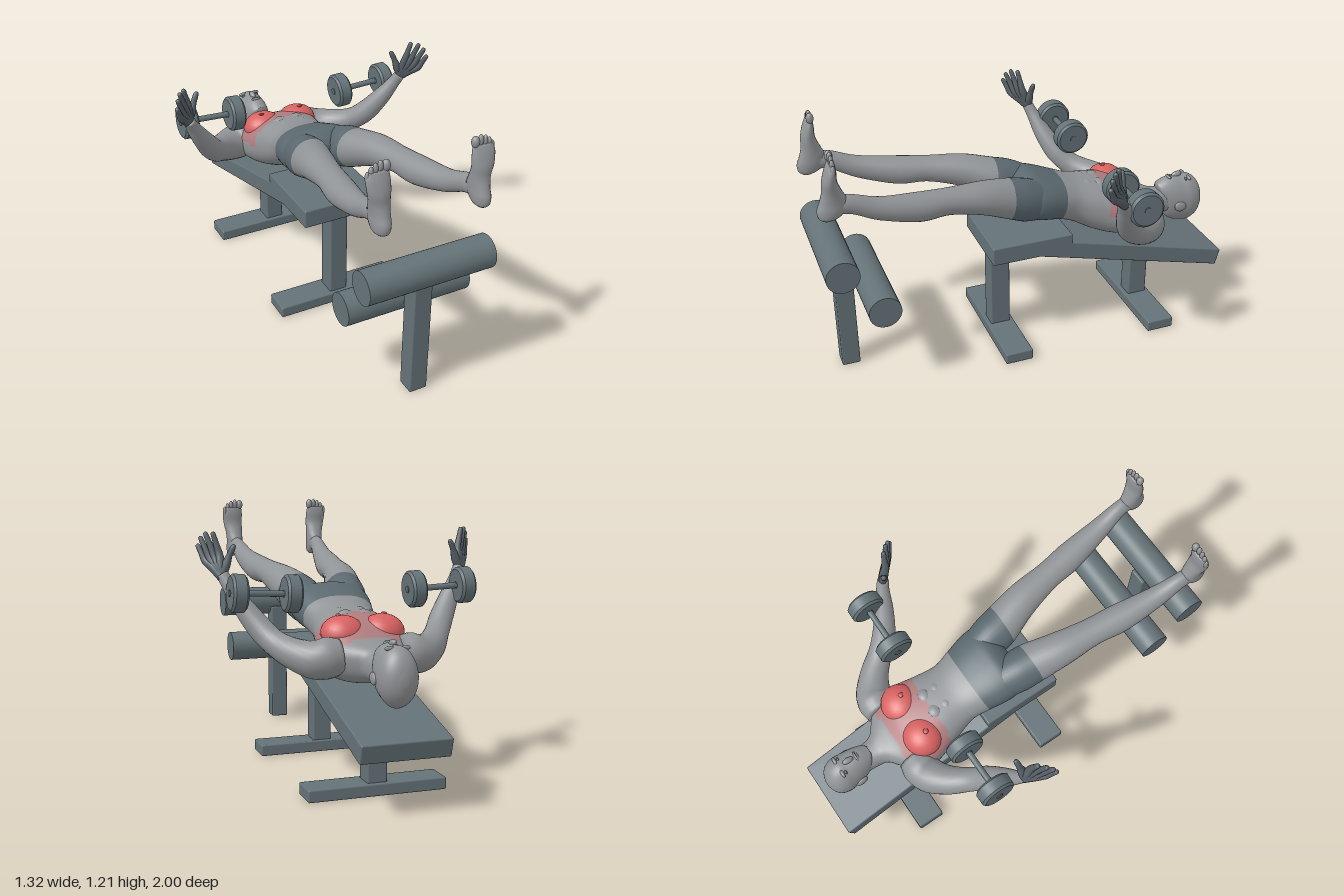
import * as THREE from 'three';
import { RoundedBoxGeometry } from 'three/addons/geometries/RoundedBoxGeometry.js';

const mat = (name, color) => Object.assign(new THREE.MeshStandardMaterial({ color }), { name });
const V = (x, y, z) => new THREE.Vector3(x, y, z);

// Smooth closed skin through elliptical sections {c, u, v}; pick() chooses a material per face
function loft(sections, { mats, pick = () => 0, sides = 28, steps = 5, power = 2 }) {
  const curve = (k) => new THREE.CatmullRomCurve3(sections.map((s) => s[k]), false, 'catmullrom', 0.5);
  const C = curve('c'), U = curve('u'), W = curve('v');
  const rings = (sections.length - 1) * steps;
  const pos = [], buckets = mats.map(() => []);
  for (let i = 0; i <= rings; i++) {
    const t = i / rings, c = C.getPoint(t), u = U.getPoint(t), v = W.getPoint(t);
    for (let j = 0; j < sides; j++) {
      const a = (j / sides) * Math.PI * 2, ca = Math.cos(a), sa = Math.sin(a);
      const e = (w) => Math.sign(w) * Math.pow(Math.abs(w), 2 / power);
      const p = c.clone().addScaledVector(u, e(ca)).addScaledVector(v, e(sa));
      pos.push(p.x, p.y, p.z);
    }
  }
  for (const t of [0, 1]) pos.push(...C.getPoint(t).toArray());
  const m = Math.floor((sections.length - 1) / 2), s0 = sections[m], s1 = sections[m + 1];
  const flip = s1.c.clone().sub(s0.c).dot(s0.u.clone().cross(s0.v)) < 0;
  const at = (i) => V(pos[i * 3], pos[i * 3 + 1], pos[i * 3 + 2]);
  const tri = (k, a, b, c) => buckets[k].push(a, flip ? c : b, flip ? b : c);
  const first = (rings + 1) * sides, last = rings * sides;
  for (let j = 0; j < sides; j++) {
    const n = (j + 1) % sides;
    for (let i = 0; i < rings; i++) {
      const a = i * sides + j, b = i * sides + n, c = b + sides, d = a + sides;
      const k = pick((i + 0.5) / steps, at(a).add(at(c)).multiplyScalar(0.5));
      tri(k, a, b, c);
      tri(k, a, c, d);
    }
    tri(pick(0, at(first)), first, n, j);
    tri(pick(sections.length - 1, at(first + 1)), first + 1, last + j, last + n);
  }
  const g = new THREE.BufferGeometry();
  g.setAttribute('position', new THREE.Float32BufferAttribute(pos, 3));
  g.setIndex(buckets.flat());
  let start = 0;
  buckets.forEach((b, k) => { g.addGroup(start, b.length, k); start += b.length; });
  g.computeVertexNormals();
  return new THREE.Mesh(g, mats);
}

// Section rows [z, x, y, rx, ry] across the body axis, leaning by tilt
const across = (rows, tilt, s = 1) => rows.map(([z, x, y, rx, ry]) => (
  { c: V(x * s, y, z), u: V(rx, 0, 0), v: V(0, ry, tilt * ry) }));

// Limb through points [x, y, z, radius]
function limb(pts, s, material, sides = 12, steps = 4) {
  const p = pts.map(([x, y, z]) => V(x * s, y, z));
  const sections = p.map((c, i) => {
    const t = p[Math.min(i + 1, p.length - 1)].clone().sub(p[Math.max(i - 1, 0)]).normalize();
    const u = t.clone().cross(V(0, 0, 1)).normalize();
    const v = t.clone().cross(u);
    return { c, u: u.multiplyScalar(pts[i][3]), v: v.multiplyScalar(pts[i][3]) };
  });
  return loft(sections, { mats: [material], sides, steps });
}

export function createModel() {
  const model = new THREE.Group();
  const steel = mat('bench grey', 0x647277);
  const skin = mat('skin grey', 0x919497);
  const shorts = mat('shorts grey', 0x5b696f);
  const glove = mat('hand grey', 0x566067);
  const red = mat('chest red', 0xd86262);
  const rose = mat('chest edge', 0xb07c7e);
  const darkRed = mat('nipple red', 0xa84a4c);
  const dark = mat('eye grey', 0x5e6164);

  const add = (name, mesh, parent = model) => { mesh.name = name; parent.add(mesh); return mesh; };
  const box = (name, w, h, d, x, y, z) => {
    const m = add(name, new THREE.Mesh(new RoundedBoxGeometry(w, h, d, 2, 0.007), steel));
    m.position.set(x, y, z);
    return m;
  };
  const blob = (name, material, x, y, z, rx, ry, rz, tilt = 0, parent = model) => {
    const m = add(name, new THREE.Mesh(new THREE.SphereGeometry(1, 24, 16), material), parent);
    m.position.set(x, y, z);
    m.scale.set(rx, ry, rz);
    m.rotation.x = tilt;
    return m;
  };

  // Bench: flat seat, sloping back, two T-shaped supports
  box('seat', 0.394, 0.09, 0.397, 0, 0.532, 0.0185);
  box('backBoard', 0.394, 0.085, 1.0, 0, 0.4025, -0.504).rotation.x = -0.258;
  for (const [n, z, h] of [['front', 0.131, 0.5], ['rear', -0.618, 0.38]]) {
    box(n + 'Leg', 0.09, h, 0.097, 0, h / 2, z);
    box(n + 'Foot', 0.627, 0.055, 0.135, 0, 0.0275, z);
  }

  // Leg rest: post with two rollers
  box('rollerPost', 0.086, 0.62, 0.086, 0, 0.31, 0.885);
  const rollerProfile = [[0, -0.299], [0.071, -0.299], [0.075, -0.295], [0.075, 0.295], [0.071, 0.299], [0, 0.299]];
  for (const [n, y, z] of [['upperRoller', 0.647, 0.928], ['lowerRoller', 0.428, 0.757]]) {
    const g = new THREE.CylinderGeometry(0.075, 0.075, rollerProfile[4][1] * 2, 40);
    const r = add(n, new THREE.Mesh(g, steel));
    r.rotation.z = Math.PI / 2;
    r.position.set(0, y, z);
  }

  // Torso and neck, with the shorts up to the waist and a soft edge round the chest
  const torso = across([
    [0.06, 0, 0.765, 0.04, 0.03], [0.04, 0, 0.76, 0.1, 0.065], [0, 0, 0.747, 0.18, 0.1],
    [-0.06, 0, 0.73, 0.19, 0.105], [-0.158, 0, 0.702, 0.17, 0.098], [-0.24, 0, 0.672, 0.155, 0.1],
    [-0.34, 0, 0.637, 0.175, 0.12], [-0.43, 0, 0.61, 0.2, 0.128], [-0.51, 0, 0.588, 0.212, 0.12],
    [-0.58, 0, 0.565, 0.185, 0.097], [-0.63, 0, 0.56, 0.122, 0.083], [-0.67, 0, 0.56, 0.075, 0.07],
    [-0.72, 0, 0.558, 0.062, 0.066], [-0.78, 0, 0.56, 0.06, 0.064],
  ], -0.22);
  add('torso', loft(torso, {
    mats: [skin, shorts, rose], sides: 56, steps: 6, power: 2.3,
    pick: (k, p) => (k < 4 ? 1 : p.z < -0.38 && p.z > -0.595 && p.y > 0.625 ? 2 : 0),
  }));
  blob('navel', dark, 0, 0.767, -0.215, 0.005, 0.004, 0.009, -0.26);

  // Head with its features
  const head = add('head', new THREE.Group());
  add('skull', loft(across([
    [-0.715, 0, 0.637, 0.022, 0.016], [-0.73, 0, 0.615, 0.045, 0.045], [-0.76, 0, 0.576, 0.064, 0.098],
    [-0.8, 0, 0.561, 0.075, 0.12], [-0.84, 0, 0.555, 0.081, 0.124], [-0.88, 0, 0.552, 0.084, 0.127],
    [-0.92, 0, 0.55, 0.073, 0.104], [-0.945, 0, 0.548, 0.047, 0.066], [-0.957, 0, 0.546, 0.014, 0.02],
  ], 0), { mats: [skin], sides: 36 }), head);
  blob('nose', skin, 0, 0.682, -0.822, 0.014, 0.016, 0.028, 0.25, head);
  blob('lips', skin, 0, 0.677, -0.78, 0.024, 0.008, 0.01, 0, head);
  blob('mouthLine', dark, 0, 0.684, -0.78, 0.019, 0.0025, 0.002, 0, head);
  for (const s of [-1, 1]) {
    blob('eye', dark, s * 0.033, 0.666, -0.858, 0.014, 0.007, 0.006, 0, head);
    blob('brow', skin, s * 0.034, 0.67, -0.874, 0.022, 0.01, 0.008, 0, head);
    blob('ear', skin, s * 0.08, 0.54, -0.815, 0.012, 0.026, 0.032, -0.3, head);
  }

  for (const s of [-1, 1]) {
    const side = s > 0 ? 'left' : 'right';

    // Chest and stomach muscles
    blob(side + 'Chest', red, s * 0.092, 0.675, -0.478, 0.098, 0.076, 0.092, -0.26);
    blob(side + 'Nipple', darkRed, s * 0.105, 0.751, -0.462, 0.013, 0.006, 0.013, -0.26);
    for (let i = 0; i < 3; i++) {
      blob(side + 'Abdominal', skin, s * 0.042, 0.733 - i * 0.003, -0.25 - i * 0.062, 0.043, 0.034, 0.038, -0.2);
    }

    // Leg, with the shorts reaching to the hem
    add(side + 'Leg', loft(across([
      [-0.06, 0.09, 0.73, 0.09, 0.09], [0.03, 0.107, 0.757, 0.097, 0.101], [0.112, 0.117, 0.784, 0.098, 0.094],
      [0.25, 0.149, 0.83, 0.083, 0.076], [0.41, 0.172, 0.857, 0.066, 0.06], [0.55, 0.191, 0.866, 0.068, 0.065],
      [0.73, 0.213, 0.905, 0.05, 0.051], [0.85, 0.225, 0.955, 0.036, 0.043], [0.93, 0.228, 0.965, 0.034, 0.042],
    ], -0.13, s), { mats: [skin, shorts], pick: (k) => (k < 2 ? 1 : 0), sides: 32 }));

    // Upright foot, rows [y, x, z, rx, rz], and toes from big to small
    const foot = [
      [0.902, 0.23, 0.955, 0.018, 0.022], [0.918, 0.23, 0.946, 0.034, 0.048], [0.95, 0.229, 0.934, 0.04, 0.064],
      [0.985, 0.228, 0.925, 0.041, 0.06], [1.03, 0.23, 0.928, 0.044, 0.043], [1.08, 0.235, 0.935, 0.05, 0.032],
      [1.13, 0.238, 0.928, 0.053, 0.024], [1.165, 0.236, 0.922, 0.046, 0.014],
    ].map(([y, x, z, rx, rz]) => ({ c: V(s * x, y, z), u: V(rx, 0, 0), v: V(0, 0, rz) }));
    add(side + 'Foot', loft(foot, { mats: [skin], sides: 24 }));
    [[0.2, 1.188, 0.017], [0.225, 1.191, 0.012], [0.246, 1.184, 0.011], [0.265, 1.172, 0.011], [0.281, 1.153, 0.01]]
      .forEach(([x, y, r]) => blob(side + 'Toe', skin, s * x, y - 0.008, 0.922, r, 0.025, r));

    // Arm
    add(side + 'Arm', limb([
      [0.13, 0.59, -0.56, 0.075], [0.19, 0.585, -0.555, 0.09], [0.25, 0.58, -0.54, 0.082], [0.32, 0.602, -0.485, 0.067],
      [0.38, 0.64, -0.41, 0.056], [0.43, 0.7, -0.35, 0.054], [0.49, 0.79, -0.3, 0.044],
      [0.54, 0.875, -0.265, 0.031], [0.562, 0.92, -0.245, 0.027],
    ], s, skin, 24, 5));

    // Open hand: each finger runs from the wrist over its knuckle to the tip
    const hand = add(side + 'Hand', new THREE.Group());
    const tips = [[0.594, 1.103, -0.2], [0.622, 1.102, -0.172], [0.64, 1.082, -0.15], [0.65, 1.047, -0.138]];
    tips.forEach(([x, y, z], i) => {
      const f = i / 3, k = [0.57 + 0.052 * f, 1.01 - 0.035 * f, -0.216 + 0.042 * f];
      const mid = (t) => [k[0] + (x - k[0]) * t, k[1] + (y - k[1]) * t, k[2] + (z - k[2]) * t];
      add('finger', limb([
        [0.556 + 0.01 * f, 0.905, -0.252, 0.019], [0.566 + 0.028 * f, 0.962 - 0.015 * f, -0.232 + 0.02 * f, 0.021],
        [...k, 0.017], [...mid(0.5), 0.013], [...mid(0.92), 0.0105], [...mid(1), 0.003],
      ], s, glove), hand);
    });
    add('thumb', limb([
      [0.562, 0.92, -0.247, 0.018], [0.546, 0.962, -0.246, 0.02], [0.533, 1.0, -0.25, 0.014],
      [0.52, 1.03, -0.254, 0.013], [0.512, 1.046, -0.256, 0.009], [0.51, 1.05, -0.256, 0.003],
    ], s, glove), hand);

    // Dumbbell: bar and two bevelled weights with hubs
    const bell = add(side + 'Dumbbell', new THREE.Group());
    const profile = [[0, -0.034], [0.072, -0.034], [0.072, -0.034], [0.083, -0.024], [0.083, -0.024],
      [0.083, 0.024], [0.083, 0.024], [0.072, 0.034], [0.072, 0.034], [0, 0.034]];
    const bar = add('bar', new THREE.Mesh(new THREE.CylinderGeometry(0.014, 0.014, 0.24, 16), steel), bell);
    bar.rotation.z = Math.PI / 2;
    for (const e of [-1, 1]) {
      const w = add('weight', new THREE.Mesh(
        new THREE.LatheGeometry(profile.map(([r, h]) => new THREE.Vector2(r, h)), 32), steel), bell);
      const hub = add('hub', new THREE.Mesh(new THREE.CylinderGeometry(0.016, 0.016, 0.076, 16), steel), bell);
      for (const m of [w, hub]) {
        m.rotation.z = Math.PI / 2;
        m.position.x = e * 0.119;
      }
    }
    bell.position.set(s * 0.407, 0.846, -0.37);
    bell.rotation.z = s * 0.045;
  }
  return model;
}
